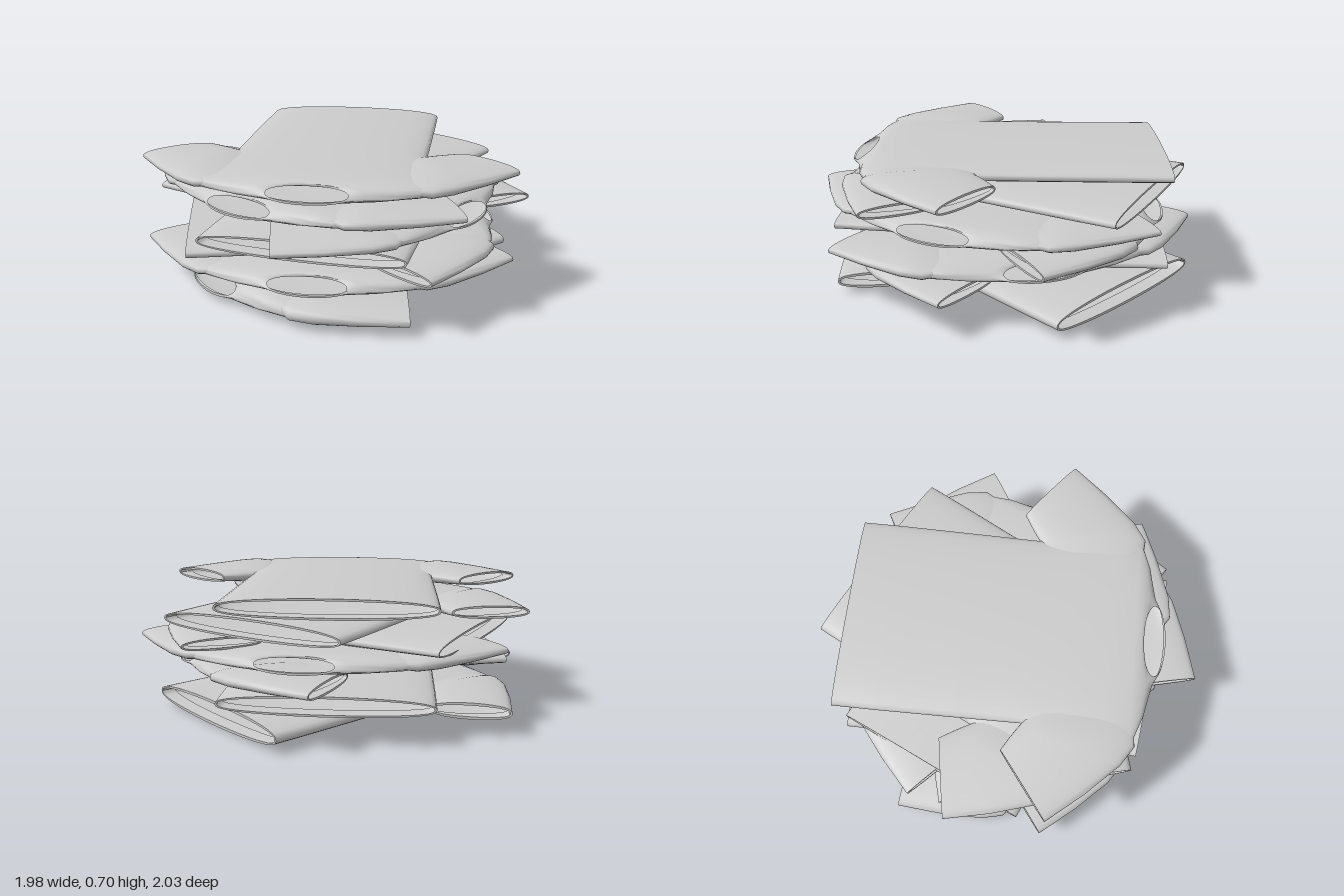
import * as THREE from 'three';
import { toCreasedNormals } from 'three/addons/utils/BufferGeometryUtils.js';

const SEG = 40;
const material = new THREE.MeshStandardMaterial({ color: 0xcccccc, side: THREE.DoubleSide });

// A ring is [ax, az, bx, bz, halfThickness, slant]: a flattened oval between points a and b.
const mix = (p, q, t) => p.map((n, i) => n + (q[i] - n) * t);

// Shrinks a ring by the cloth thickness
function inset(r, d) {
  const k = d / Math.hypot(r[2] - r[0], r[3] - r[1]);
  const [a, b] = [mix(r.slice(0, 2), r.slice(2, 4), k), mix(r.slice(2, 4), r.slice(0, 2), k)];
  return [...a, ...b, r[4] - d, r[5]];
}

// Folds the cloth inwards to form a rim at an open end
const fold = (end, next) => [inset(mix(end, next, 0.35), 0.014), inset(end, 0.011)];

function loft(rings) {
  const pos = [], index = [];
  rings.forEach(([ax, az, bx, bz, h, slant], i) => {
    for (let j = 0; j < SEG; j++) {
      const t = (j / SEG) * Math.PI * 2, c = Math.cos(t), s = Math.sin(t);
      const y = Math.sign(s) * Math.pow(Math.abs(s), 0.75) * h;
      pos.push((ax + bx) / 2 + (c * (bx - ax)) / 2, y, (az + bz) / 2 + (c * (bz - az)) / 2 - slant * s);
      if (i === rings.length - 1) continue;
      const k = (j + 1) % SEG, p = i * SEG, q = p + SEG;
      index.push(p + j, p + k, q + k, p + j, q + k, q + j);
    }
  });
  const g = new THREE.BufferGeometry();
  g.setAttribute('position', new THREE.Float32BufferAttribute(pos, 3));
  g.setIndex(index);
  return toCreasedNormals(g, 1.0);
}

// Torso from hem to neck: [z, half width, half thickness, slant]
function bodyGeometry() {
  const rings = [
    [-0.82, 0.52, 0.05, 0], [-0.6, 0.52, 0.052, 0], [-0.2, 0.515, 0.053, 0], [0.14, 0.51, 0.053, 0],
    [0.35, 0.54, 0.052, 0], [0.55, 0.57, 0.049, 0.005], [0.69, 0.56, 0.044, 0.015],
    [0.74, 0.42, 0.04, 0.03], [0.765, 0.26, 0.036, 0.045], [0.785, 0.205, 0.032, 0.06],
  ].map(([z, w, h, s]) => [-w, z, w, z, h, s]);
  const n = rings.length;
  return loft([
    ...fold(rings[0], rings[1]), ...rings,
    ...fold(rings[n - 1], rings[n - 2]).reverse(),
  ]);
}

// Sleeve from shoulder to cuff: [lower x, lower z, upper x, upper z, half thickness]
function sleeveGeometry(side) {
  const rings = [
    [0.44, 0.15, 0.46, 0.7, 0.035], [0.505, 0.145, 0.57, 0.71, 0.048], [0.54, 0.12, 0.67, 0.645, 0.047],
    [0.595, 0.085, 0.83, 0.48, 0.041], [0.655, 0.05, 0.98, 0.3, 0.034],
  ].map(([lx, lz, ux, uz, h]) => {
    const low = [lx * side, lz], up = [ux * side, uz];
    return side > 0 ? [...up, ...low, h, 0] : [...low, ...up, h, 0];
  });
  return loft([...rings, ...fold(rings[4], rings[3]).reverse()]);
}

export function createModel() {
  const model = new THREE.Group();
  model.name = 'shirtStack';
  const parts = [
    ['torso', bodyGeometry()], ['leftSleeve', sleeveGeometry(1)], ['rightSleeve', sleeveGeometry(-1)],
  ];

  // Each shirt: [height, direction of the neck in degrees from +x towards +z, thickness scale]
  const layers = [
    [0.069, 180, 1.28], [0.185, 136, 1], [0.282, 30, 1], [0.37, 322.5, 1],
    [0.436, 70, 0.9], [0.53, 163, 1], [0.645, 135.6, 1],
  ];
  layers.forEach(([y, angle, thick], i) => {
    const shirt = new THREE.Group();
    shirt.name = `shirt${i + 1}`;
    for (const [name, geometry] of parts) {
      const mesh = new THREE.Mesh(geometry, material);
      mesh.name = name;
      mesh.position.x = -0.03;
      shirt.add(mesh);
    }
    shirt.position.y = y;
    shirt.rotation.y = THREE.MathUtils.degToRad(90 - angle);
    shirt.scale.y = thick;
    model.add(shirt);
  });
  return model;
}
